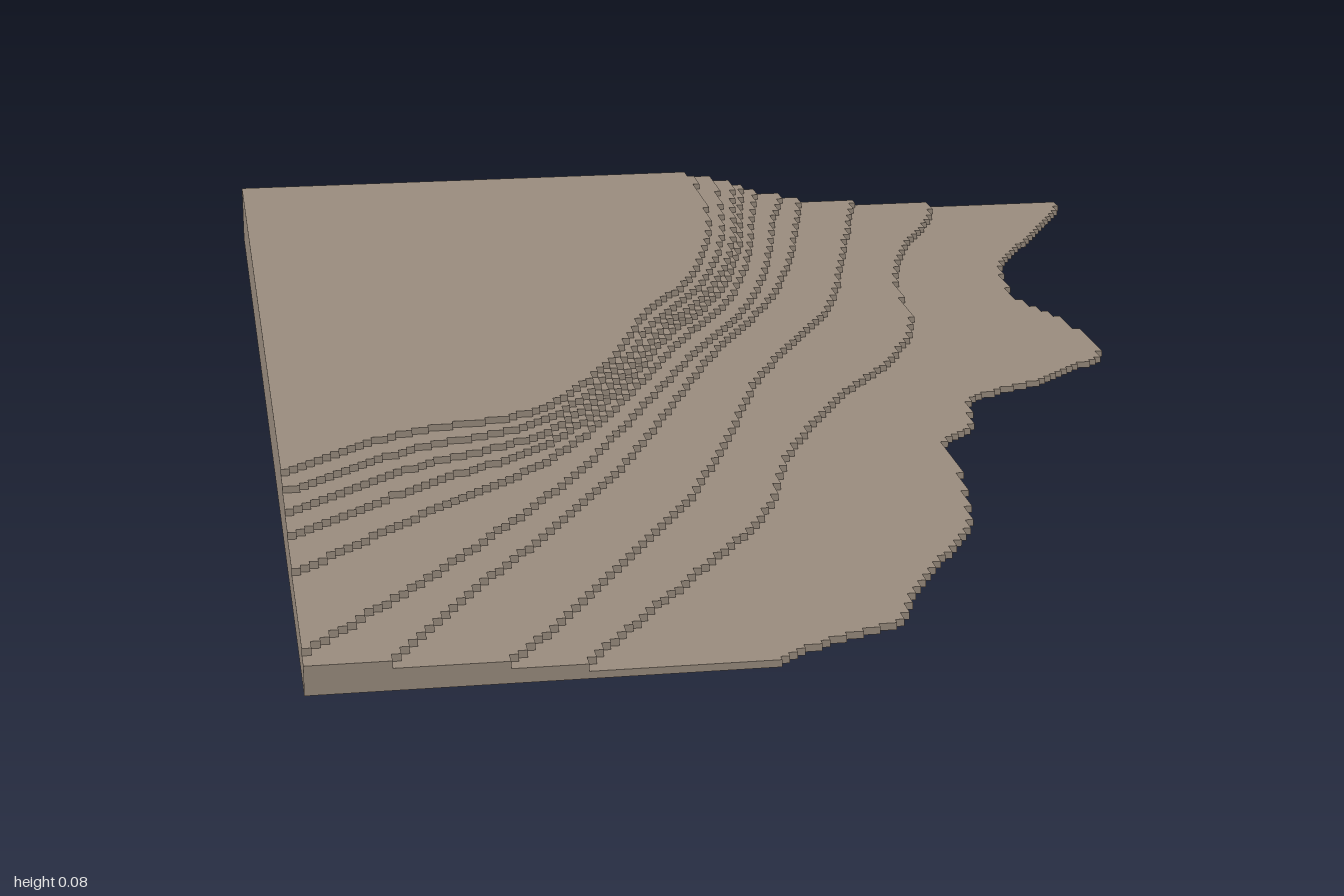
import * as THREE from 'three';

const LEFT = -0.645, CELL = 0.01, STEP = 0.008;

// Right-hand edge of the lower terraces, as [x, z] from back to front
const SHORE = [[.645, -1], [.635, -.95], [.585, -.85], [.54, -.76], [.48, -.65], [.45, -.55], [.44, -.4],
  [.475, -.27], [.48, -.1], [.42, -.04], [.37, .01], [.3, .05], [.25, .1], [.23, .2], [.18, .27], [.17, .4],
  [.155, .5], [.14, .58], [.1, .67], [.05, .76], [.02, .82], [-.01, .9], [-.1, .95], [-.155, 1]];
const SECOND = [[.44, -1], [.41, -.88], [.33, -.69], [.28, -.5], [.256, -.28], [.19, -.1], [.08, .08],
  [-.02, .3], [-.1, .55], [-.23, .775], [-.36, 1]];
const THIRD = [[.315, -1], [.23, -.65], [.15, -.35], [0, -.025], [-.09, .25], [-.18, .5], [-.29, .72],
  [-.37, .88], [-.44, 1]];
const FOURTH = [[.23, -1], [.14, -.6], [.06, -.35], [-.055, -.1], [-.15, .15], [-.25, .4], [-.36, .62],
  [-.47, .82], [-.56, 1]];

// Upper terraces blend between these two edges
const FIFTH = [[.2, -1], [.15, -.8], [.1, -.56], [.03, -.32], [-.07, -.11], [-.165, .11], [-.3, .42],
  [-.46, .7], [-.645, .98]];
const TOP = [[.05, -1], [.047, -.83], [.02, -.6], [-.045, -.344], [-.14, -.14], [-.215, .08], [-.33, .28],
  [-.495, .35], [-.645, .48]];
// Blend amounts at the back and at the front for each upper terrace
const BLENDS = [[0, 0], [.27, .46], [.43, .66], [.53, .79], [.73, .9], [1, 1]];

function blendEdge([back, front]) {
  return FIFTH.map((p, i) => {
    const t = THREE.MathUtils.lerp(back, front, i / (FIFTH.length - 1));
    return [THREE.MathUtils.lerp(p[0], TOP[i][0], t), THREE.MathUtils.lerp(p[1], TOP[i][1], t)];
  });
}

// Outline whose right side climbs in small square cells along a smooth edge
function steppedShape(edge) {
  const curve = new THREE.SplineCurve(edge.map(([x, z]) => new THREE.Vector2(x, z)));
  const samples = curve.getPoints(500);
  const pts = [new THREE.Vector2(LEFT, -1)];
  let k = 0, last = null, z = -1;
  for (let row = 0; row < 200; row++) {
    z = -1 + row * CELL;
    const mid = z + CELL / 2;
    while (k < samples.length - 1 && samples[k].y < mid) k++;
    if (samples[k].y < mid) break;
    const cells = Math.round((samples[k].x - LEFT) / CELL);
    if (cells <= 0) break;
    if (cells !== last) {
      if (last !== null) pts.push(new THREE.Vector2(LEFT + last * CELL, z));
      pts.push(new THREE.Vector2(LEFT + cells * CELL, z));
      last = cells;
    }
    z += CELL;
  }
  pts.push(new THREE.Vector2(LEFT + last * CELL, z), new THREE.Vector2(LEFT, z));
  return new THREE.Shape(pts);
}

export function createModel() {
  const model = new THREE.Group();
  model.name = 'terracedTerrain';
  const earth = new THREE.MeshStandardMaterial({ color: 0x9b8d7f });
  earth.name = 'earth';

  // Stack of flat terraces, widest at the bottom
  const edges = [SHORE, SECOND, THIRD, FOURTH, ...BLENDS.map(blendEdge)];
  edges.forEach((edge, i) => {
    const geo = new THREE.ExtrudeGeometry(steppedShape(edge), { depth: STEP, bevelEnabled: false });
    geo.rotateX(Math.PI / 2);
    geo.translate(0, (i + 1) * STEP, 0);
    const terrace = new THREE.Mesh(geo, earth);
    terrace.name = `terrace${i + 1}`;
    model.add(terrace);
  });
  return model;
}
